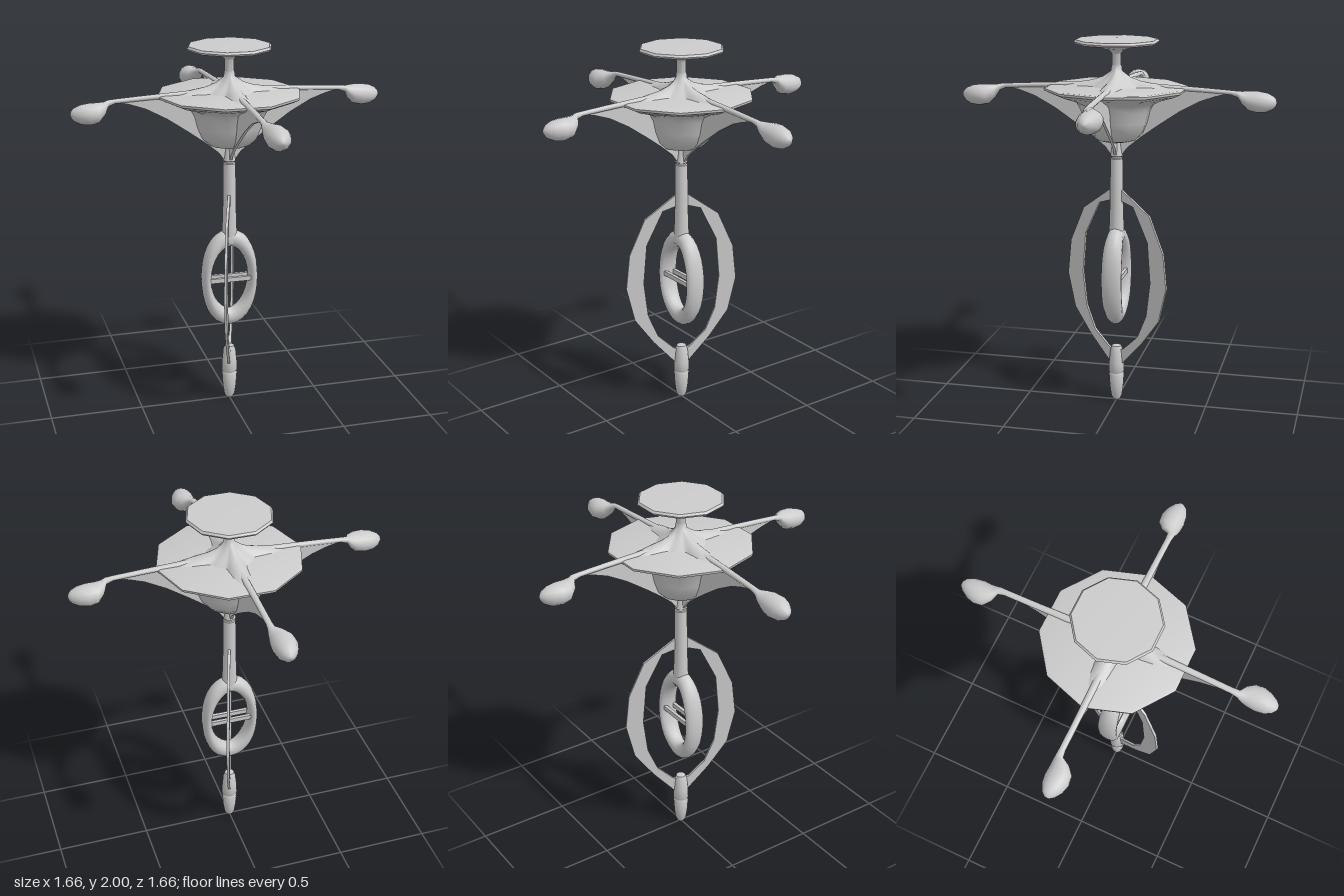
import * as THREE from 'three';
import { toCreasedNormals } from 'three/addons/utils/BufferGeometryUtils.js';

const grey = new THREE.MeshStandardMaterial({ color: 0xcccccc });

function add(parent, name, geometry) {
  const mesh = new THREE.Mesh(geometry, grey);
  mesh.name = name;
  parent.add(mesh);
  return mesh;
}

// Turned part: profile of [radius, y] from bottom to top, with a corner on +x
function turned(profile, sides, crease = 0.7) {
  const pts = profile.map(([r, y]) => new THREE.Vector2(r, y));
  return toCreasedNormals(new THREE.LatheGeometry(pts, sides, Math.PI / 2), crease);
}

// Skin over rings of equal point count; each ring runs counter-clockwise about the path
function loft(rings, closed = false) {
  const n = rings[0].length, m = rings.length, index = [];
  for (let i = 0; i < (closed ? m : m - 1); i++) {
    for (let j = 0; j < n; j++) {
      const k = (j + 1) % n, i2 = (i + 1) % m;
      const a = i * n + j, b = i * n + k, c = i2 * n + k, d = i2 * n + j;
      index.push(a, b, c, a, c, d);
    }
  }
  const geo = new THREE.BufferGeometry();
  geo.setAttribute('position', new THREE.Float32BufferAttribute(rings.flat(2), 3));
  geo.setIndex(index);
  geo.computeVertexNormals();
  return geo;
}

function circle(n, fn) {
  return Array.from({ length: n }, (_, j) => fn((j / n) * Math.PI * 2));
}

function plate(points, depth) {
  const shape = new THREE.Shape(points.map(([x, y]) => new THREE.Vector2(x, y)));
  const geo = new THREE.ExtrudeGeometry(shape, { depth, bevelEnabled: false });
  return geo.translate(0, 0, -depth / 2);
}

// Strut running along +x that swells into a lopsided teardrop pod
function armGeometry() {
  const sections = [ // x, y, z, half height, half width
    [0.05, 1.765, 0, 0.012, 0.02], [0.25, 1.752, -0.004, 0.014, 0.018],
    [0.45, 1.743, -0.004, 0.013, 0.016], [0.6, 1.735, -0.003, 0.012, 0.016],
    [0.635, 1.727, -0.004, 0.017, 0.02], [0.655, 1.708, -0.022, 0.033, 0.042],
    [0.69, 1.691, -0.036, 0.051, 0.059], [0.735, 1.686, -0.037, 0.056, 0.063],
    [0.78, 1.685, -0.034, 0.05, 0.053], [0.813, 1.686, -0.032, 0.034, 0.034],
    [0.829, 1.687, -0.032, 0.015, 0.015], [0.832, 1.687, -0.032, 0, 0],
  ];
  return loft(sections.map(([x, y, z, h, w]) =>
    circle(14, (t) => [x, y + h * Math.cos(t), z + w * Math.sin(t)])));
}

// Four-pointed peak whose ridges run out along the arms
function hubGeometry() {
  const rows = [ // y, reach along arms, reach between arms
    [1.74, 0.34, 0.14], [1.765, 0.22, 0.105], [1.78, 0.13, 0.08],
    [1.8, 0.072, 0.055], [1.83, 0.03, 0.03], [1.86, 0.026, 0.026],
  ];
  return loft(rows.map(([y, far, near]) => circle(64, (t) => {
    const r = near + (far - near) * Math.pow(Math.abs(Math.cos(2 * t)), 8) * (Math.cos(4 * t) > 0 ? 1 : 0.5);
    return [r * Math.sin(t), y, r * Math.cos(t)];
  })));
}

// Upright oval ring, thicker at its top and bottom than at its sides
function ovalRingGeometry() {
  const rings = circle(32, (t) => {
    const c = Math.cos(t), s = Math.sin(t);
    const half = 0.025 + 0.023 * s * s, deep = 0.055 - 0.012 * s ** 4;
    const nl = Math.hypot(c / 0.13, s / 0.227);
    const nx = c / 0.13 / nl, ny = s / 0.227 / nl;
    return circle(14, (u) => [
      0.13 * c + nx * half * Math.cos(u),
      0.722 + 0.227 * s + ny * half * Math.cos(u),
      -deep * Math.sin(u),
    ]);
  });
  return loft(rings, true);
}

export function createModel() {
  const model = new THREE.Group();
  model.name = 'station';

  // Upper disc with its stalk
  add(model, 'topDisc', turned([
    [0.025, 1.82], [0.025, 1.92], [0.04, 1.937], [0.1, 1.953], [0.217, 1.972],
    [0.224, 1.982], [0.215, 1.993], [0, 2],
  ], 10));

  // Main dish: bowl flaring out to a ten-sided rim
  add(model, 'mainDish', turned([
    [0, 1.455], [0.06, 1.458], [0.11, 1.472], [0.15, 1.51], [0.175, 1.57], [0.19, 1.63],
    [0.21, 1.665], [0.26, 1.69], [0.34, 1.715], [0.378, 1.733], [0.38, 1.745], [0.365, 1.75], [0, 1.752],
  ], 10));
  add(model, 'hub', hubGeometry());

  // Arms with end pods, each braced by a thin fin under the dish
  const armGeo = armGeometry();
  const finGeo = plate([
    [0, 1.385], [0.032, 1.39], [0.06, 1.428], [0.13, 1.485], [0.22, 1.55],
    [0.33, 1.625], [0.44, 1.685], [0.52, 1.713], [0.6, 1.733], [0.45, 1.747], [0, 1.75],
  ], 0.014);
  for (let k = 0; k < 4; k++) {
    const side = new THREE.Group();
    side.name = 'armAssembly';
    side.rotation.y = (k * Math.PI) / 2;
    add(side, 'arm', armGeo);
    add(side, 'fin', finGeo);
    model.add(side);
  }

  // Central column with a groove below the fins
  add(model, 'column', turned([
    [0, 0.93], [0.044, 0.93], [0.04, 1.0], [0.036, 1.12], [0.033, 1.366], [0.028, 1.37],
    [0.028, 1.378], [0.034, 1.382], [0.03, 1.4], [0.02, 1.47],
  ], 16));

  // Oval ring and its paired crossbars
  add(model, 'ovalRing', ovalRingGeometry());
  for (const z of [-0.028, 0.028]) {
    add(model, 'crossbar', new THREE.BoxGeometry(0.24, 0.025, 0.018)).position.set(0, 0.718, z);
  }

  // Flat outer loop in two mirrored halves, turned about the column
  const bandGeo = plate([
    [0.0, 1.215], [0.04, 1.195], [0.205, 1.075], [0.29, 0.88], [0.31, 0.69], [0.265, 0.5],
    [0.16, 0.355], [0.03, 0.21], [0, 0.21], [0, 0.29], [0.045, 0.305], [0.135, 0.39],
    [0.19, 0.52], [0.213, 0.71], [0.195, 0.93], [0.105, 1.115], [0.04, 1.135], [0, 1.135],
  ], 0.014);
  const loop = new THREE.Group();
  loop.name = 'outerLoop';
  loop.rotation.y = -Math.PI / 2 - 0.33;
  for (const turn of [0, Math.PI]) add(loop, 'loopBand', bandGeo).rotation.y = turn;
  model.add(loop);

  // Bullet-shaped lower capsule with a seam
  add(model, 'lowerCapsule', turned([
    [0, 0], [0.018, 0.004], [0.029, 0.025], [0.037, 0.08], [0.042, 0.155], [0.039, 0.16],
    [0.039, 0.166], [0.043, 0.171], [0.042, 0.22], [0.035, 0.29], [0.026, 0.317], [0, 0.322],
  ], 16));

  return model;
}
